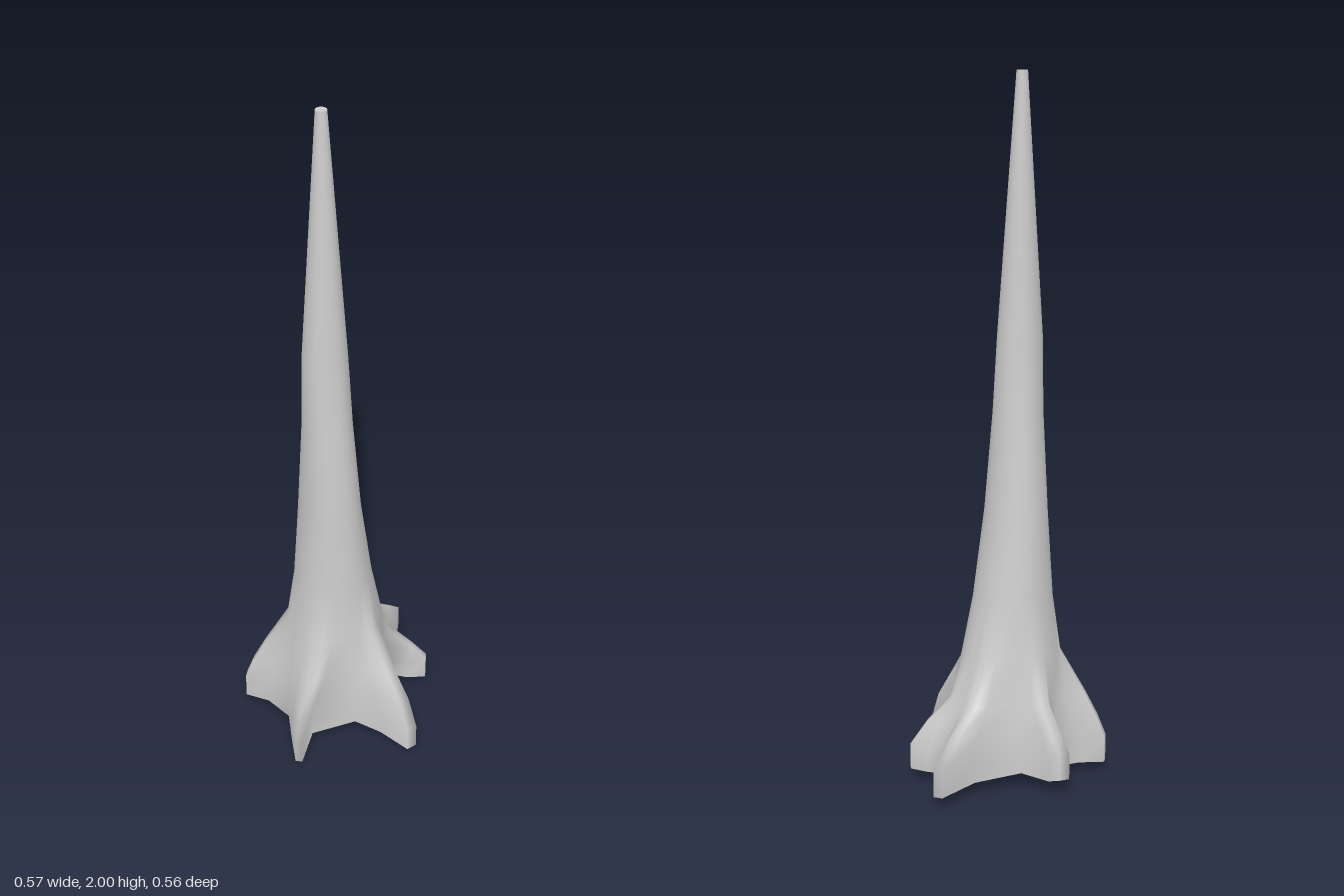
import * as THREE from 'three';

// Roots in order around the trunk: direction, base height of the tip, how far the
// ridge has drawn in at shoulder height, and the outline [x, z] as
// valley, knee, tip, tip, knee.
const roots = [
  { dir: -96, base: 0.045, pull: 0.65, pts: [[-0.105, -0.155], [-0.1, -0.21], [-0.1, -0.278], [-0.07, -0.28], [-0.055, -0.235]] },
  { dir: -35, base: 0.03, pull: 0.75, pts: [[0, -0.17], [0.14, -0.167], [0.268, -0.247], [0.286, -0.228], [0.25, -0.17]] },
  { dir: 5, base: 0.03, pull: 0.75, pts: [[0.197, -0.09], [0.23, -0.035], [0.266, 0.013], [0.254, 0.032], [0.2, 0.012]] },
  { dir: 64, base: 0.002, pull: 0.45, pts: [[0.145, -0.02], [0.085, 0.17], [0.107, 0.272], [0.075, 0.279], [0.02, 0.205]] },
  { dir: 133, base: 0.015, pull: 0.65, pts: [[-0.035, 0.14], [-0.17, 0.125], [-0.24, 0.21], [-0.258, 0.2], [-0.235, 0.115]] },
  { dir: 208, base: 0.03, pull: 0.45, pts: [[-0.21, 0.035], [-0.235, -0.065], [-0.287, -0.12], [-0.27, -0.147], [-0.2, -0.125]] },
];

// Trunk cross-sections: y, centre x, centre z, radius x, radius z
const sections = [
  [0.36, -0.035, -0.012, 0.142, 0.137],
  [0.52, -0.04, -0.012, 0.115, 0.112],
  [0.77, -0.053, -0.003, 0.088, 0.106],
  [1.05, -0.059, -0.003, 0.072, 0.073],
  [1.27, -0.065, -0.002, 0.065, 0.06],
  [2, -0.065, -0.015, 0.016, 0.016],
];

function onSection([y, cx, cz, rx, rz], angle) {
  return [cx + rx * Math.cos(angle), y, cz + rz * Math.sin(angle)];
}

// One column of points per outline corner, with its direction on the trunk
function makeColumns() {
  const columns = [];
  roots.forEach((root, i) => {
    const prev = roots[(i + 5) % 6].dir - (i === 0 ? 360 : 0);
    const next = roots[(i + 1) % 6].dir + (i === 5 ? 360 : 0);
    const before = (root.dir - prev) / 2, after = (next - root.dir) / 2;
    const angles = [-before, -before * 0.5, -before * 0.15, after * 0.15, after * 0.5];
    root.pts.forEach(([x, z], k) => {
      const isTip = k === 2 || k === 3, isValley = k === 0;
      const angle = THREE.MathUtils.degToRad(root.dir + angles[k]);
      const [tx, , tz] = onSection(sections[0], angle);
      const toward = (t, y) => [x + (tx - x) * t, y, z + (tz - z) * t];
      const bottom = isTip ? root.base : isValley ? 0.04 : 0.03;
      const shoulder = isTip ? root.pull : isValley ? 0.6 : 0.65;
      columns.push([
        toward(0, bottom),
        toward(0, isTip ? root.base + 0.075 : 0.09),
        toward(shoulder * 0.4, 0.165),
        toward(shoulder, 0.235),
        ...sections.map((s) => onSection(s, angle)),
      ]);
    });
  });
  return columns;
}

function makeGeometry(positions, index) {
  const geometry = new THREE.BufferGeometry();
  geometry.setAttribute('position', new THREE.Float32BufferAttribute(positions, 3));
  geometry.setIndex(index);
  geometry.computeVertexNormals();
  return geometry;
}

export function createModel() {
  const group = new THREE.Group();
  group.name = 'trunkWithRoots';
  const material = new THREE.MeshStandardMaterial({ color: 0xcccccc, side: THREE.DoubleSide });
  const add = (geometry, name) => {
    const mesh = new THREE.Mesh(geometry, material);
    mesh.name = name;
    group.add(mesh);
  };

  const columns = makeColumns();
  const n = columns.length, rows = columns[0].length;

  // Bark skin: roots flowing up into the tapering trunk
  const index = [];
  for (let c = 0; c < n; c++) {
    for (let r = 0; r < rows - 1; r++) {
      const a = c * rows + r, b = ((c + 1) % n) * rows + r;
      index.push(a, a + 1, b, b, a + 1, b + 1);
    }
  }
  add(makeGeometry(columns.flat(2), index), 'trunkAndRoots');

  // Underside of the roots
  const base = columns.map((col) => col[0]);
  const outline = base.map(([x, , z]) => new THREE.Vector2(x, z));
  add(makeGeometry(base.flat(), THREE.ShapeUtils.triangulateShape(outline, []).flat()), 'underside');

  // Blunt top
  const top = new THREE.CircleGeometry(0.016, 12).rotateX(-Math.PI / 2);
  top.translate(-0.065, 2, -0.015);
  add(top, 'trunkTop');

  return group;
}
